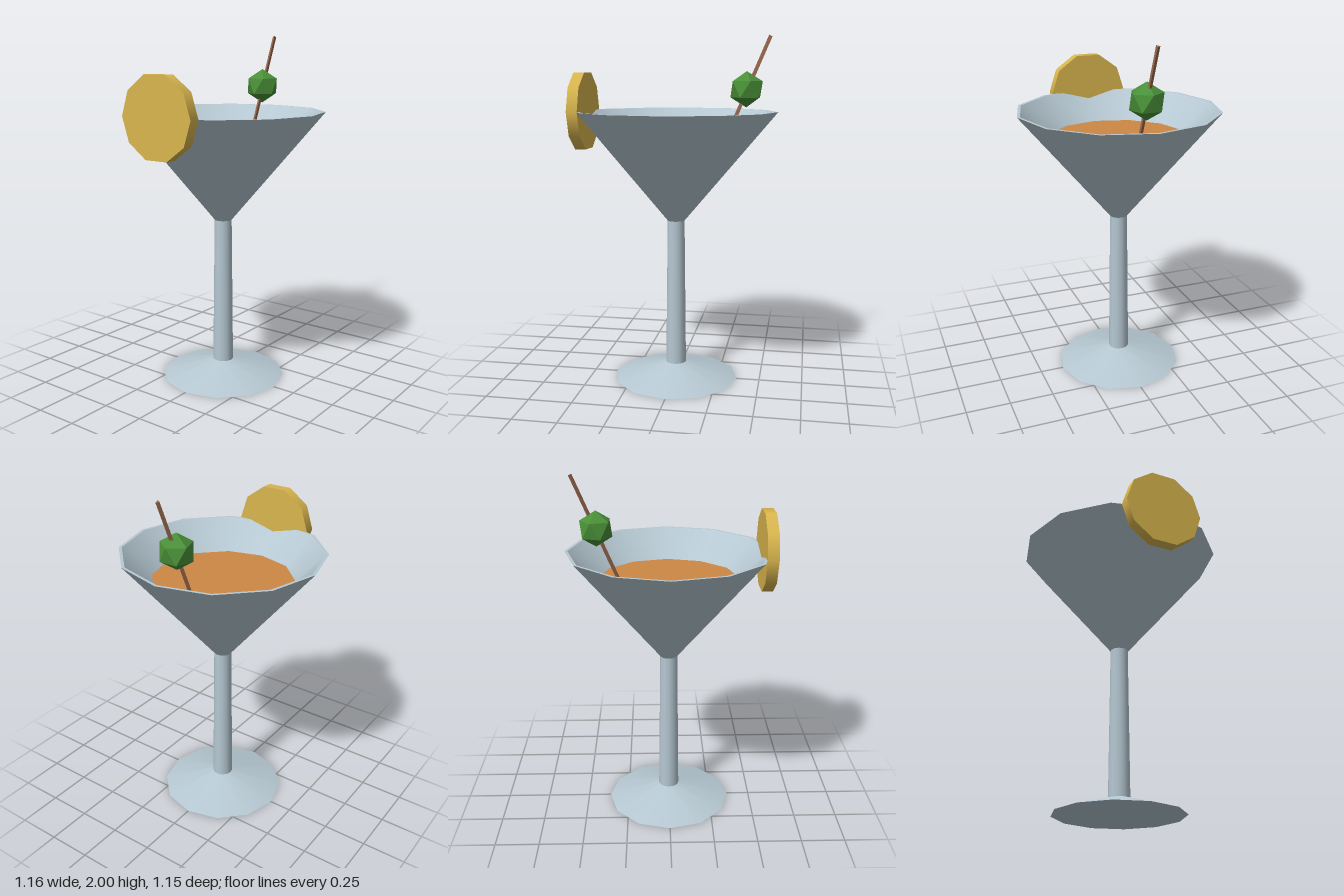
import * as THREE from 'three';

const material = (name, color) => {
  const m = new THREE.MeshStandardMaterial({ color });
  m.name = name;
  return m;
};

export function createModel() {
  const group = new THREE.Group();
  const glass = material('pale glass', 0xb6c8d2);
  const drink = material('orange drink', 0xcc8844);
  const citrus = material('citrus yellow', 0xd9b64e);
  const green = material('olive green', 0x4a9038);
  const wood = material('stick brown', 0x9c6a4e);
  green.flatShading = true;
  wood.flatShading = true;

  const add = (name, geometry, mat, x = 0, y = 0, z = 0) => {
    const mesh = new THREE.Mesh(geometry, mat);
    mesh.name = name;
    mesh.position.set(x, y, z);
    group.add(mesh);
    return mesh;
  };

  // Twelve-sided turned parts; separate profiles keep the edges crisp
  const turned = (name, mat, ...points) =>
    add(name, new THREE.LatheGeometry(points.map(([r, y]) => new THREE.Vector2(r, y)), 12), mat);

  turned('footUnderside', glass, [0, 0], [0.365, 0]);
  turned('foot', glass, [0.365, 0], [0.06, 0.09]);
  turned('stem', glass, [0.06, 0.09], [0.05, 0.95]);
  turned('bowlOutside', glass, [0.05, 0.95], [0.577, 1.58]);
  turned('bowlRim', glass, [0.577, 1.58], [0.56, 1.58]);
  turned('bowlInside', glass, [0.56, 1.58], [0.4, 1.42], [0, 1.02]);

  // Drink surface
  turned('drink', drink, [0.4, 1.42], [0, 1.42]);

  // Ten-sided citrus slice standing on the rim
  const slice = add('citrusSlice', new THREE.CylinderGeometry(0.23, 0.23, 0.063, 10), citrus, -0.548, 1.58, 0);
  slice.rotation.z = Math.PI / 2;

  // Olive with one corner pointing straight up
  const olive = add('olive', new THREE.IcosahedronGeometry(0.1, 0), green, 0.398, 1.705, 0);
  olive.rotation.z = -Math.atan2(2, 1 + Math.sqrt(5));

  // Three-sided stick, leaning outwards from the drink
  const lean = 0.4, length = 0.7;
  const stickGeometry = new THREE.CylinderGeometry(0.012, 0.012, length, 3, 1, false, Math.PI);
  stickGeometry.translate(0, -length / 2, 0);
  const stick = add('stick', stickGeometry, wood, 0.527, 1.996, 0);
  stick.rotation.z = -lean;

  return group;
}
